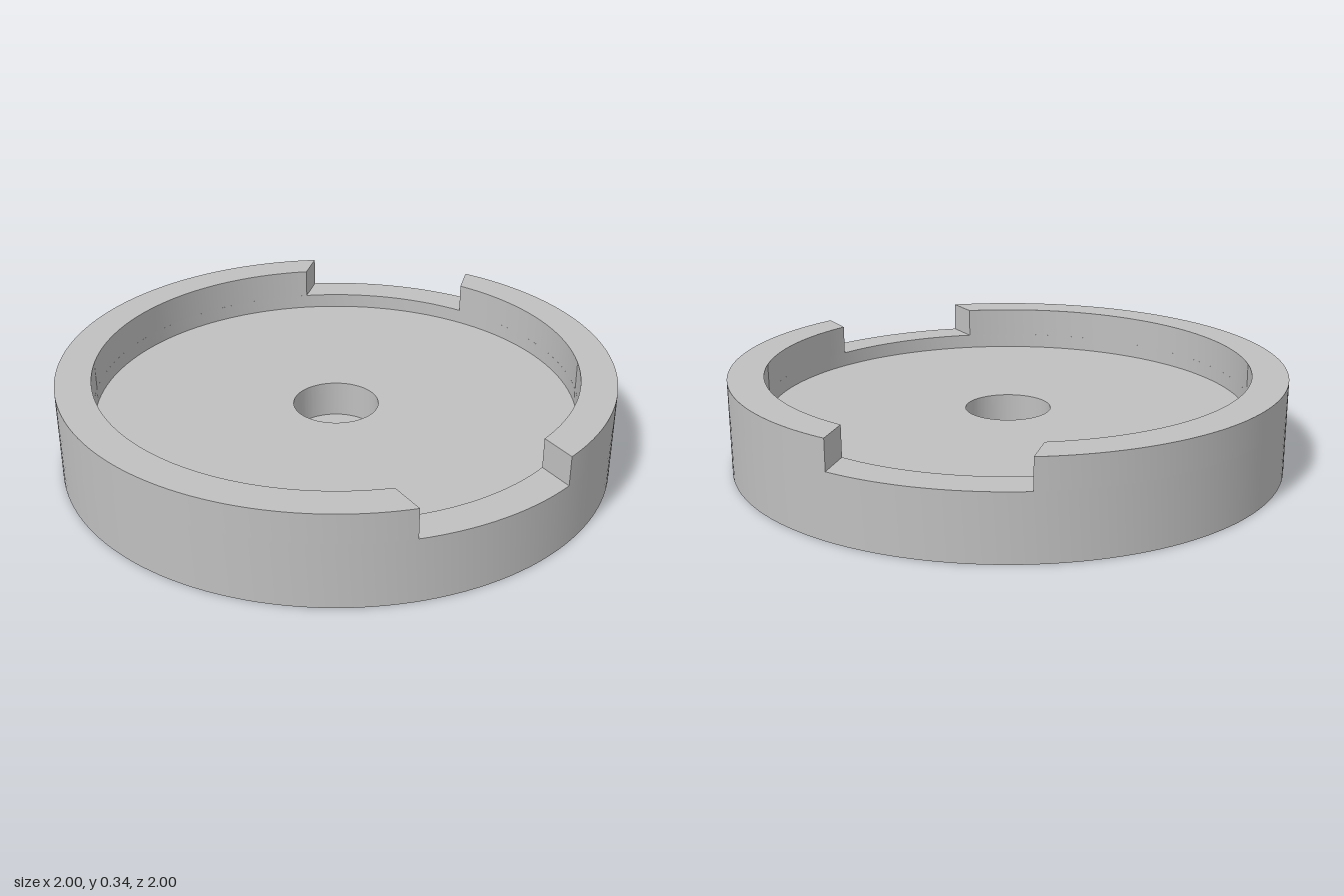
import * as THREE from 'three';
import { toCreasedNormals } from 'three/addons/utils/BufferGeometryUtils.js';

const R = 1, INNER = 0.872, HOLE = 0.155;
const TOP = 0.34, NOTCH_FLOOR = 0.232, FLOOR = 0.178, HOLE_FLOOR = 0.045;

// Straight-sided notches: direction of the axis and half width
const NOTCHES = [
  { angle: -Math.PI / 6, half: 0.29 },
  { angle: Math.PI * 7 / 12, half: 0.326 },
];

export function createModel() {
  const group = new THREE.Group();
  const grey = new THREE.MeshStandardMaterial({ color: 0xbfbfbf });
  grey.name = 'plain grey';

  const add = (name, geometry) => {
    const mesh = new THREE.Mesh(toCreasedNormals(geometry, 0.5), grey);
    mesh.name = name;
    group.add(mesh);
  };

  // Dish body with a blind centre hole, up to the notch floors
  const profile = [
    [0, 0], [R, 0], [R, NOTCH_FLOOR], [INNER, NOTCH_FLOOR], [INNER, FLOOR],
    [HOLE, FLOOR], [HOLE, HOLE_FLOOR], [0, HOLE_FLOOR],
  ].map(([x, y]) => new THREE.Vector2(x, y));
  add('dishBody', new THREE.LatheGeometry(profile, 144));

  // Raised rim arcs between the notches
  NOTCHES.forEach((from, i) => {
    const to = NOTCHES[(i + 1) % NOTCHES.length];
    const endAngle = to.angle + (i === NOTCHES.length - 1 ? Math.PI * 2 : 0);
    const start = (r) => from.angle + Math.asin(from.half / r);
    const end = (r) => endAngle - Math.asin(to.half / r);
    const shape = new THREE.Shape();
    shape.absarc(0, 0, R, start(R), end(R), false);
    shape.absarc(0, 0, INNER, end(INNER), start(INNER), true);
    shape.closePath();
    const rim = new THREE.ExtrudeGeometry(shape, {
      depth: TOP - NOTCH_FLOOR, bevelEnabled: false, curveSegments: 72,
    });
    rim.rotateX(-Math.PI / 2).translate(0, NOTCH_FLOOR, 0);
    add('rimArc' + (i + 1), rim);
  });

  return group;
}
